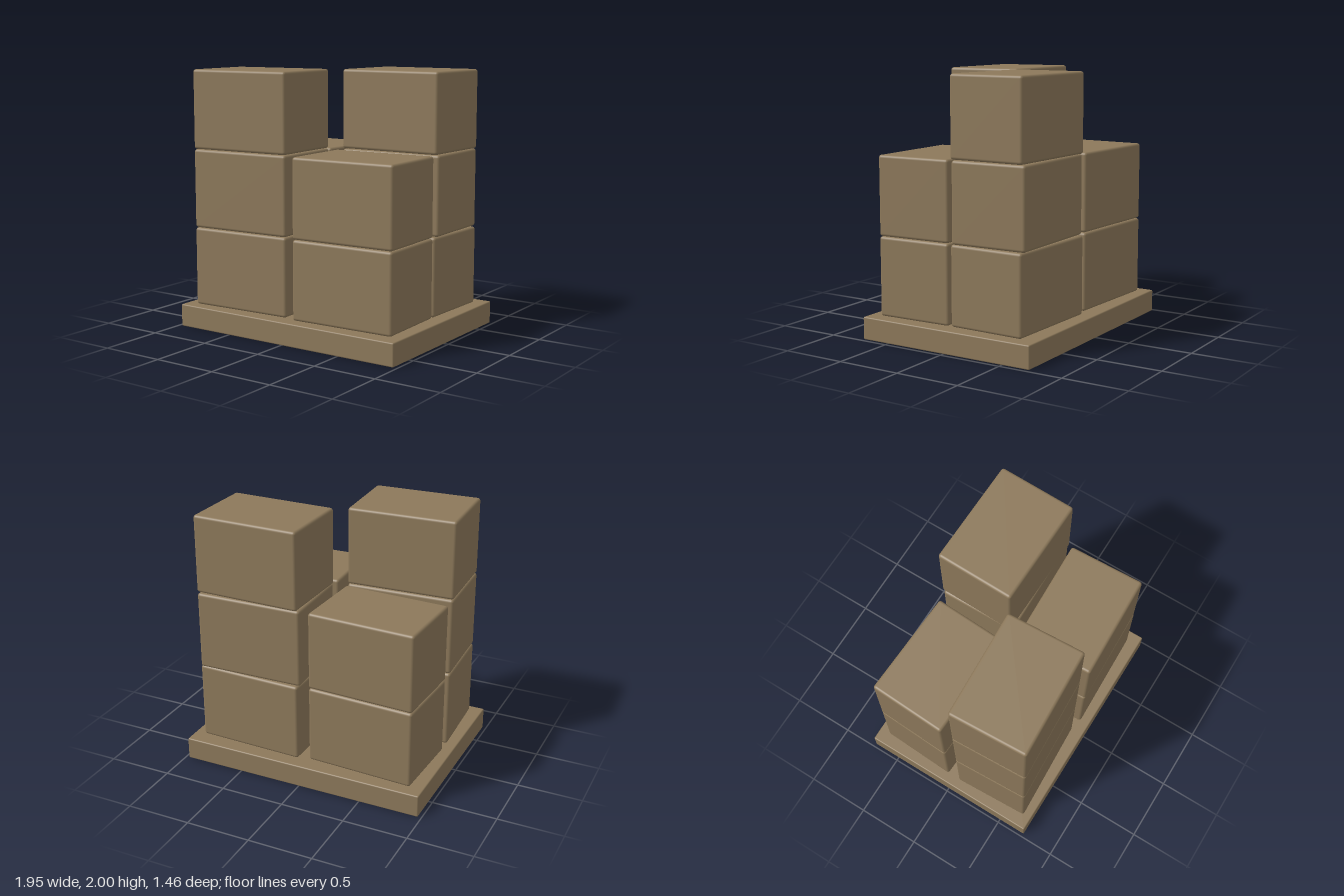
import * as THREE from 'three';
import { RoundedBoxGeometry } from 'three/addons/geometries/RoundedBoxGeometry.js';

// Each stack: centre on the pallet and the twist of every crate, bottom to top
const STACKS = [
  { name: 'frontRight', x: -0.465, z: 0.34, twists: [0.045, 0.045, 0.047] },
  { name: 'frontLeft', x: 0.462, z: 0.335, twists: [0.03, 0.036] },
  { name: 'backRight', x: -0.465, z: -0.322, twists: [-0.047, -0.047] },
  { name: 'backLeft', x: 0.461, z: -0.319, twists: [-0.03, 0.02, -0.02] },
];
const BASE_HEIGHT = 0.175;
const CRATE = { width: 0.842, height: 0.606, depth: 0.608, pitch: 0.608 };

export function createModel() {
  const model = new THREE.Group();
  model.name = 'stackedCrates';
  const cardboard = new THREE.MeshStandardMaterial({ color: 0x8c785a });
  cardboard.name = 'cardboard brown';

  // Pallet slab
  const base = new THREE.Mesh(new RoundedBoxGeometry(1.946, BASE_HEIGHT, 1.456, 2, 0.01), cardboard);
  base.name = 'palletBase';
  base.position.y = BASE_HEIGHT / 2;
  model.add(base);

  // Crates, slightly twisted on their stacks
  const crateGeometry = new RoundedBoxGeometry(CRATE.width, CRATE.height, CRATE.depth, 3, 0.022);
  for (const { name, x, z, twists } of STACKS) {
    const stack = new THREE.Group();
    stack.name = `${name}Stack`;
    stack.position.set(x, 0, z);
    twists.forEach((twist, level) => {
      const crate = new THREE.Mesh(crateGeometry, cardboard);
      crate.name = `${name}Crate${level + 1}`;
      crate.position.y = BASE_HEIGHT + 0.003 + CRATE.height / 2 + level * CRATE.pitch;
      crate.rotation.y = twist;
      stack.add(crate);
    });
    model.add(stack);
  }
  return model;
}
